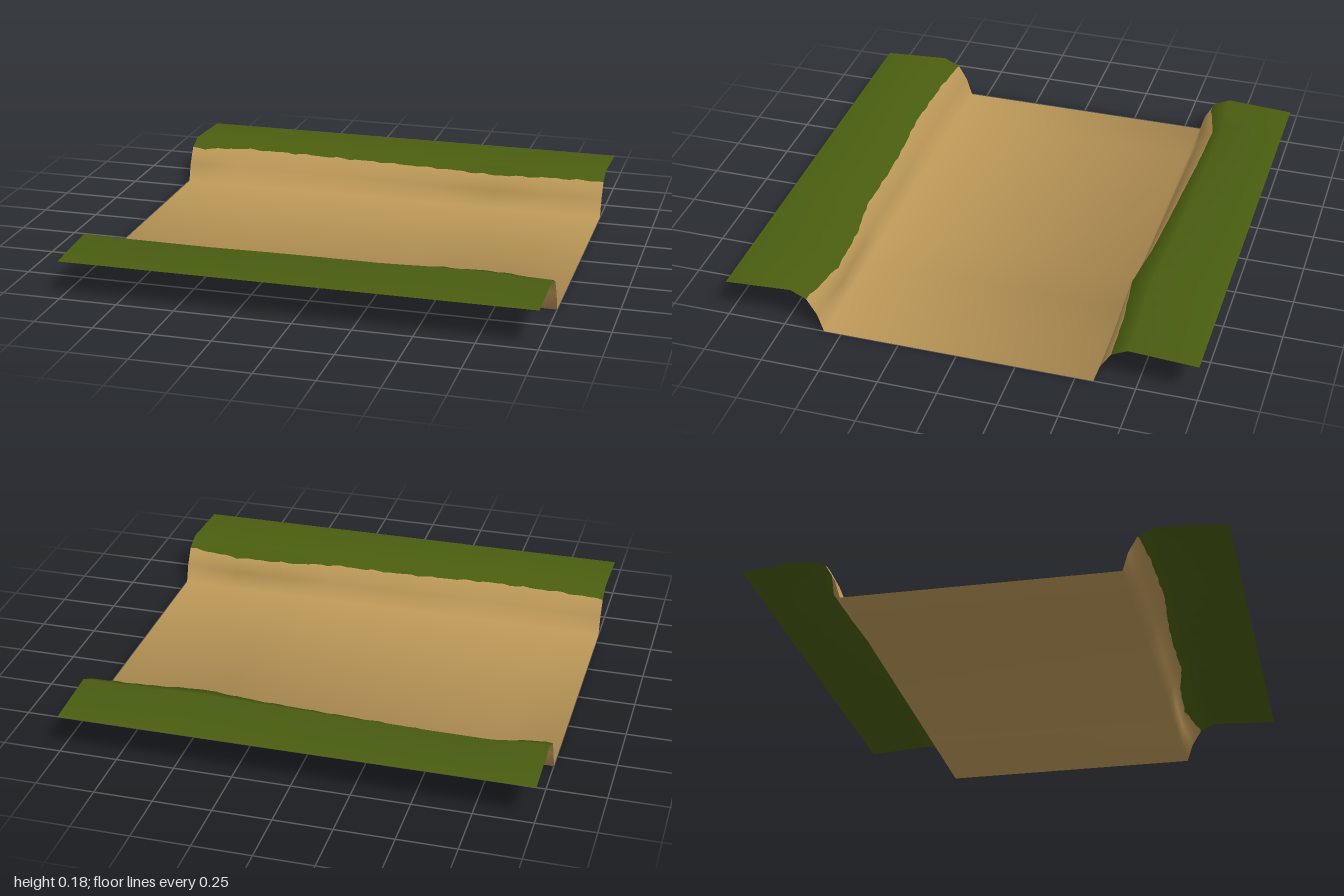
import * as THREE from 'three';

const COLUMNS = 64;

// Where the turf begins on each bank: [x, distance from the centre line]
const frontEdge = [[-1, .64], [-.8, .66], [-.45, .67], [-.2, .65], [0, .643], [.28, .645], [.5, .61], [.75, .6], [1, .645]];
const backEdge = [[-1, .64], [-.95, .632], [-.75, .682], [-.5, .675], [0, .65], [.25, .635], [.5, .607], [.75, .635], [1, .645]];

function sample(points, x) {
  let i = 0;
  while (i < points.length - 2 && x > points[i + 1][0]) i++;
  const [a, b] = [points[i], points[i + 1]];
  return THREE.MathUtils.lerp(a[1], b[1], (x - a[0]) / (b[0] - a[0]));
}

// Half cross-section from the foot of the bank to the outer rim, as [z, y]
function bankProfile(edges, x, phase) {
  const edge = sample(edges, x);
  const ragged = .5 * Math.sin(x * 43 + phase) + .5 * Math.sin(x * 71 + phase * 2);
  return [
    [.575, 0],
    [.575 + (edge - .575) * .38, .08],
    [edge + ragged * .002, .15 + ragged * .004],
    [.71 + (edge - .64) * .4, .182],
    [1, .165],
  ];
}

// Full cross-section from back rim to front rim
function section(x) {
  const back = bankProfile(backEdge, x, 1).reverse().map(([z, y]) => [-z, y]);
  return [...back, ...bankProfile(frontEdge, x, 4)];
}

// One continuous sheet; rounded shading follows the cross-section
function riverGeometry() {
  const positions = [], normals = [], index = [];
  for (let i = 0; i <= COLUMNS; i++) {
    const x = -1 + 2 * i / COLUMNS;
    const points = section(x);
    const facing = points.slice(1).map(([z, y], k) =>
      new THREE.Vector3(0, z - points[k][0], points[k][1] - y).normalize());
    points.forEach(([z, y], k) => {
      const n = new THREE.Vector3();
      if (k > 0) n.add(facing[k - 1]);
      if (k < facing.length) n.add(facing[k]);
      n.normalize();
      positions.push(x, y, z);
      normals.push(n.x, n.y, n.z);
    });
  }
  const geometry = new THREE.BufferGeometry();
  const rows = 10;
  for (let k = 0; k < rows - 1; k++) {
    const start = index.length;
    for (let i = 0; i < COLUMNS; i++) {
      const a = i * rows + k, c = a + rows;
      index.push(a, a + 1, c, c, a + 1, c + 1);
    }
    // The two outer strips on each side are turf, the rest is earth
    geometry.addGroup(start, index.length - start, k < 2 || k > 6 ? 0 : 1);
  }
  geometry.setAttribute('position', new THREE.Float32BufferAttribute(positions, 3));
  geometry.setAttribute('normal', new THREE.Float32BufferAttribute(normals, 3));
  geometry.setIndex(index);
  return geometry;
}

export function createModel() {
  const grass = new THREE.MeshStandardMaterial({ color: 0x4a5e10, side: THREE.DoubleSide });
  grass.name = 'grass';
  const earth = new THREE.MeshStandardMaterial({ color: 0xbc9858, side: THREE.DoubleSide });
  earth.name = 'earth';

  const bed = new THREE.Mesh(riverGeometry(), [grass, earth]);
  bed.name = 'riverbedWithBanks';

  const model = new THREE.Group();
  model.name = 'riverbedTile';
  model.add(bed);
  return model;
}
